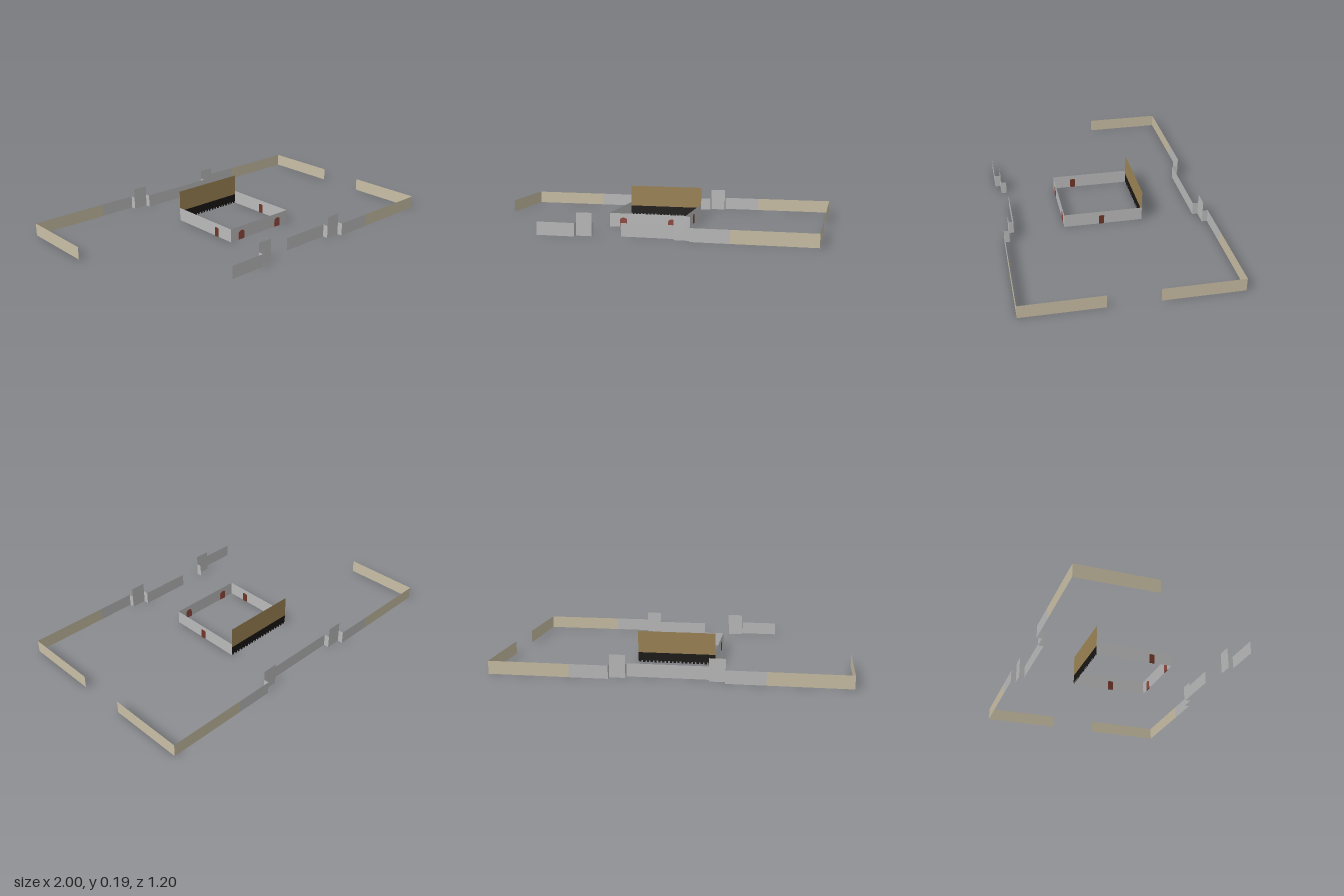
import * as THREE from 'three';

const paint = (name, color) => {
  const m = new THREE.MeshStandardMaterial({ color, side: THREE.DoubleSide });
  m.name = name;
  return m;
};

export function createModel() {
  const model = new THREE.Group();
  model.name = 'walledCompound';

  const stone = paint('grey stone', 0xbababa);
  const plaster = paint('beige plaster', 0xc8bea4);
  const timber = paint('brown timber', 0x9c8454);
  const dark = paint('dark opening', 0x191715);
  const redDoor = paint('red door', 0x8e4a40);
  const brownDoor = paint('red brown door', 0x713526);

  // upright sheet between two plan points
  function sheet(name, mat, x1, z1, x2, z2, top, bottom = 0, parent = model) {
    const geo = new THREE.PlaneGeometry(Math.hypot(x2 - x1, z2 - z1), top - bottom);
    const mesh = new THREE.Mesh(geo, mat);
    mesh.name = name;
    mesh.position.set((x1 + x2) / 2, (top + bottom) / 2, (z1 + z2) / 2);
    mesh.rotation.y = -Math.atan2(z2 - z1, x2 - x1);
    parent.add(mesh);
    return mesh;
  }

  // Outer enclosure: each long side steps inwards at its pair of towers
  const H = 0.075, TOWER = 0.13;
  const X = { end: 1, paint: 0.54, out: 0.32, inn: 0.23 };
  const Z = { outer: 0.598, tower: 0.567, centre: 0.535 };
  for (const f of [1, -1]) {
    const side = new THREE.Group();
    side.name = f > 0 ? 'frontWall' : 'backWall';
    model.add(side);
    const [zo, zt, zc] = [Z.outer * f, Z.tower * f, Z.centre * f];
    for (const s of [1, -1]) {
      // the front left corner stretch is open
      if (!(f > 0 && s < 0)) {
        sheet('plasterWall', plaster, s * X.paint, zo, s * X.end, zo, H, 0, side);
        sheet('endWall', plaster, s * X.end, f * 0.143, s * X.end, zo, H, 0, side);
      }
      sheet('stoneWall', stone, s * X.out, zo, s * X.paint, zo, H, 0, side);
      sheet('outerReturn', stone, s * X.out, zo, s * X.out, zt, H, 0, side);
      sheet('tower', stone, s * X.inn, zt, s * X.out, zt, TOWER, 0, side);
      sheet('innerReturn', stone, s * X.inn, zt, s * X.inn, zc, H, 0, side);
    }
    // entrance gap in the front centre wall
    sheet('centreWall', stone, f > 0 ? -0.073 : -X.inn, zc, X.inn, zc, H, 0, side);
  }

  // Inner courtyard building
  const court = new THREE.Group();
  court.name = 'courtyard';
  model.add(court);
  const W = 0.227, FRONT = 0.239, BACK = -0.223, CH = 0.08;
  sheet('courtFront', stone, -W, FRONT, W, FRONT, CH, 0, court);
  for (const s of [1, -1]) sheet('courtSide', stone, s * W, BACK, s * W, FRONT, CH, 0, court);

  // Tall back panel above a dark arcade on short posts
  sheet('backPanel', timber, -W, BACK, W, BACK, 0.185, 0.058, court);
  sheet('arcade', dark, -W, BACK, W, BACK, 0.058, 0.01, court);
  const posts = 20, pitch = (2 * W) / posts;
  for (let i = 0; i < posts; i++) {
    const x = -W + (i + 0.5) * pitch;
    sheet('arcadePost', dark, x - pitch * 0.3, BACK, x + pitch * 0.3, BACK, 0.01, 0, court);
  }

  // Doors: thin plates showing on both faces of the wall
  function door(name, mat, width, height, arch, x, z, turn) {
    const w = width / 2, spring = height - arch;
    const shape = new THREE.Shape();
    shape.moveTo(-w, 0);
    shape.lineTo(w, 0);
    shape.lineTo(w, spring);
    shape.absellipse(0, spring, w, arch, 0, Math.PI, false);
    shape.lineTo(-w, 0);
    const geo = new THREE.ExtrudeGeometry(shape, { depth: 0.005, bevelEnabled: false, curveSegments: 8 });
    geo.translate(0, 0, -0.0025);
    const mesh = new THREE.Mesh(geo, mat);
    mesh.name = name;
    mesh.position.set(x, 0, z);
    mesh.rotation.y = turn;
    court.add(mesh);
  }
  for (const s of [1, -1]) door('frontDoor', redDoor, 0.043, 0.055, 0.014, s * 0.145, FRONT, 0);
  door('rightDoor', brownDoor, 0.03, 0.055, 0.004, W, 0.018, Math.PI / 2);
  door('leftDoor', brownDoor, 0.03, 0.055, 0.004, -W, 0.117, Math.PI / 2);

  return model;
}
